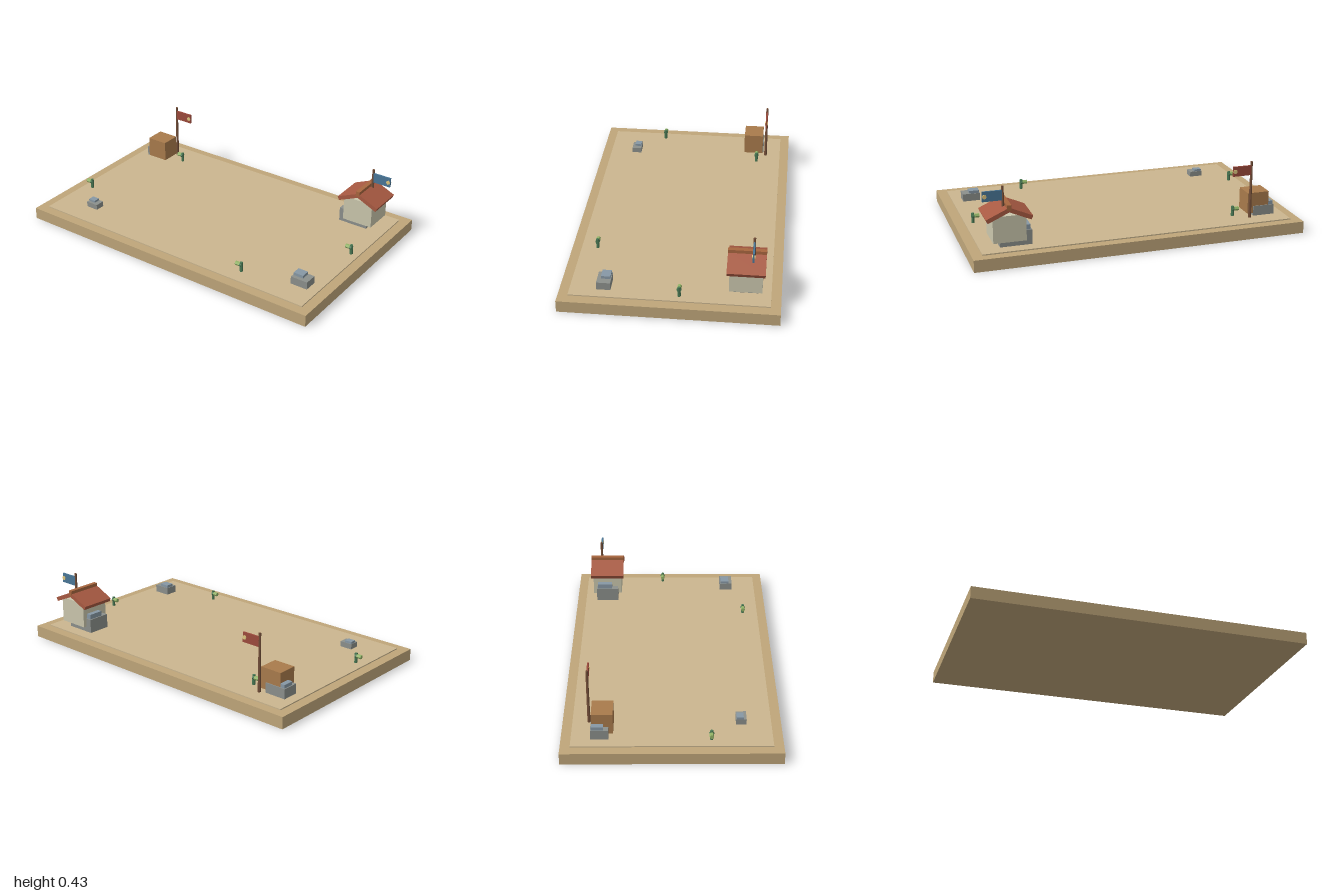
import * as THREE from 'three';

const GROUND = 0.072;
const COLORS = {
  base: 0xbfa67a, sand: 0xcbb68f, stone: 0x8c908c, paleStone: 0x8798a5,
  crate: 0xa97b4c, wall: 0xcbc7ad, roof: 0xa85a42, ridge: 0xa8663f, pole: 0x76503a,
  redFlag: 0x9c4a3c, blueFlag: 0x4a7798, emblem: 0xe0c880,
  stem: 0x4a7a55, leaf: 0x93b568,
};
const materials = {};
for (const key in COLORS) {
  materials[key] = new THREE.MeshStandardMaterial({ color: COLORS[key], flatShading: true });
}

function add(parent, name, geometry, color, x = 0, y = 0, z = 0) {
  const mesh = new THREE.Mesh(geometry, materials[color]);
  mesh.name = name;
  mesh.position.set(x, y, z);
  parent.add(mesh);
  return mesh;
}

// Box given by its lower and upper limits on each axis
function block(parent, name, color, [x0, x1], [y0, y1], [z0, z1]) {
  return add(parent, name, new THREE.BoxGeometry(x1 - x0, y1 - y0, z1 - z0), color,
    (x0 + x1) / 2, (y0 + y1) / 2, (z0 + z1) / 2);
}

function group(parent, name, x = 0, y = 0, z = 0) {
  const g = new THREE.Group();
  g.name = name;
  g.position.set(x, y, z);
  parent.add(g);
  return g;
}

// Two stacked stones; x and z mark the back left-hand corner of the lower one
function addRock(parent, x, z, width) {
  const rock = group(parent, 'rock', x, GROUND, z);
  const w = width, o = width * 0.04;
  block(rock, 'lowerStone', 'stone', [0, w], [0, w * 0.5], [0, w * 0.75]);
  block(rock, 'upperStone', 'paleStone', [o, w * 0.62], [w * 0.5, w * 0.66], [o, w * 0.54]);
}

// Pole with a flag to +x and a round emblem near its free end
function addFlag(parent, x, z, bottom, color) {
  const flag = group(parent, 'flag', x, 0, z);
  const top = 0.432;
  add(flag, 'pole', new THREE.CylinderGeometry(0.007, 0.009, top - bottom, 6), 'pole',
    0, (top + bottom) / 2, 0);
  block(flag, 'cloth', color, [0.004, 0.118], [0.348, 0.408], [-0.005, 0.005]);
  add(flag, 'emblem', new THREE.CylinderGeometry(0.013, 0.013, 0.018, 8), 'emblem', 0.105, 0.378, 0)
    .rotation.x = Math.PI / 2;
}

// Small cactus with a side arm to -x
function addCactus(parent, x, z) {
  const cactus = group(parent, 'cactus', x, GROUND, z);
  add(cactus, 'stem', new THREE.CylinderGeometry(0.009, 0.01, 0.068, 6), 'stem', 0, 0.034, 0);
  add(cactus, 'armJoint', new THREE.CylinderGeometry(0.014, 0.014, 0.012, 6), 'stem', -0.002, 0.05, 0)
    .rotation.z = Math.PI / 2;
  add(cactus, 'arm', new THREE.CylinderGeometry(0.0125, 0.0125, 0.032, 6), 'leaf', -0.022, 0.05, 0)
    .rotation.z = Math.PI / 2;
}

function addHut(parent) {
  const hut = group(parent, 'hut', 0.772, 0, -0.424);
  block(hut, 'walls', 'wall', [-0.098, 0.094], [0.113, 0.27], [-0.093, 0.093]);
  // Two sloping roof panels under a ridge beam
  for (const side of [-1, 1]) {
    add(hut, 'roofPanel', new THREE.BoxGeometry(0.14, 0.025, 0.215), 'roof', side * 0.066, 0.28, 0)
      .rotation.z = -side * 0.42;
  }
  block(hut, 'ridgeBeam', 'ridge', [-0.013, 0.013], [0.305, 0.337], [-0.108, 0.108]);
}

export function createModel() {
  const model = new THREE.Group();
  model.name = 'desertArena';

  block(model, 'base', 'base', [-1, 1], [0, GROUND], [-0.625, 0.625]);
  block(model, 'sandFloor', 'sand', [-0.94, 0.94], [GROUND - 0.01, 0.079], [-0.568, 0.568]);

  // Corner rocks: x, z, width
  for (const [x, z, width] of [
    [-0.88, -0.457, 0.135], [0.636, -0.495, 0.188],
    [-0.743, 0.366, 0.08], [0.77, 0.335, 0.107],
  ]) addRock(model, x, z, width);

  block(model, 'crate', 'crate', [-0.845, -0.709], [0.095, 0.224], [-0.452, -0.33]);
  addHut(model);

  addFlag(model, -0.714, -0.473, GROUND, 'redFlag');
  addFlag(model, 0.793, -0.462, 0.26, 'blueFlag');

  for (const [x, z] of [[-0.627, -0.415], [0.892, -0.055], [-0.878, 0.222], [0.472, 0.473]]) {
    addCactus(model, x, z);
  }
  return model;
}
